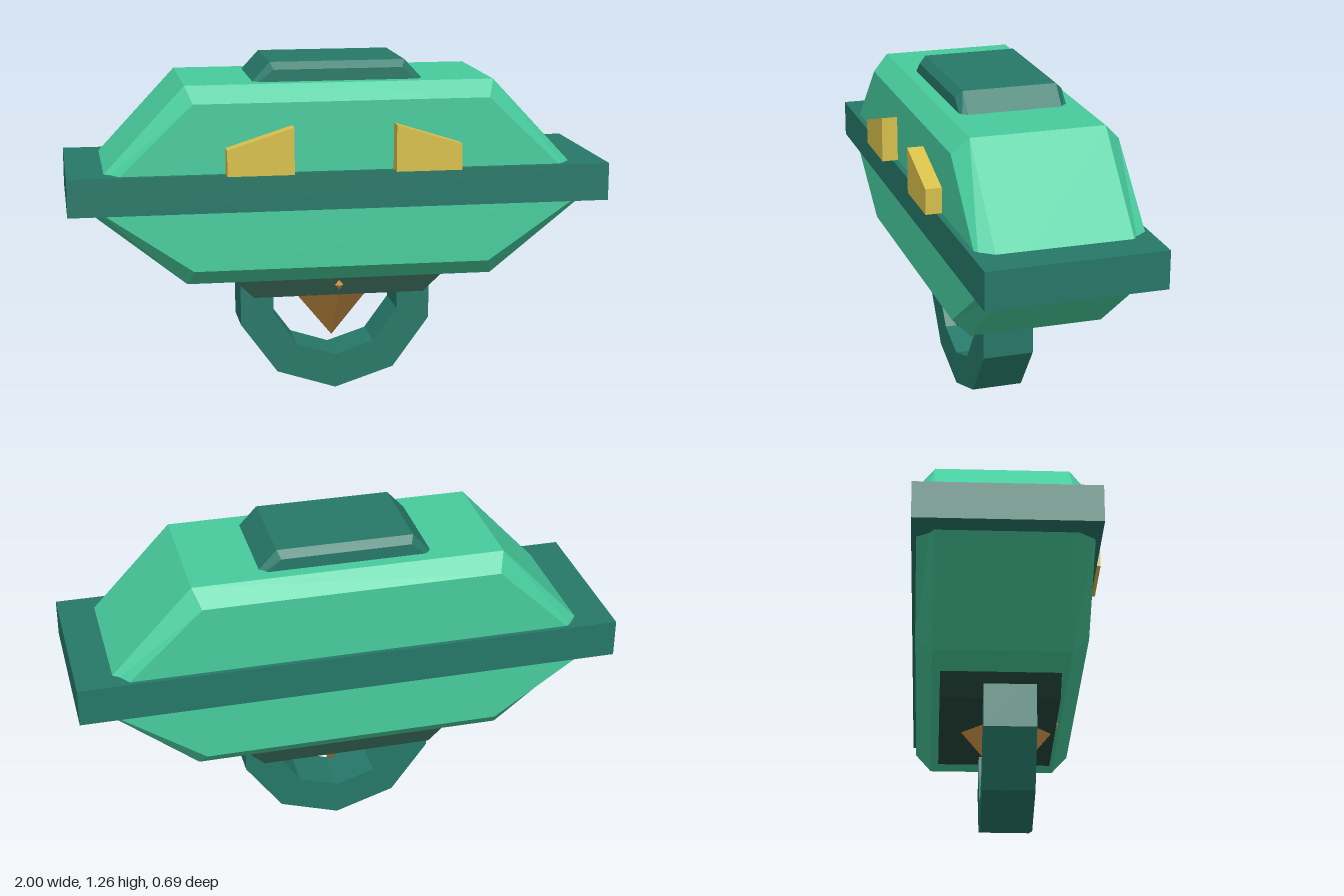
import * as THREE from 'three';

const material = (name, color) => {
  const m = new THREE.MeshStandardMaterial({ color });
  m.name = name;
  return m;
};

export function createModel() {
  const green = material('bright green', 0x48cc9e);
  const teal = material('dark teal', 0x267868);
  const shade = material('deep green', 0x264a3f);
  const gold = material('gold', 0xd9c04c);
  const amber = material('amber', 0xd09448);
  const group = new THREE.Group();

  const add = (name, geometry, mat, x = 0, y = 0, z = 0) => {
    const mesh = new THREE.Mesh(geometry, mat);
    mesh.name = name;
    mesh.position.set(x, y, z);
    group.add(mesh);
    return mesh;
  };

  // Extrudes an outline from z0 to z1, with a chamfer cut inward from it
  const prism = (points, z0, z1, chamfer = 0) => {
    const shape = new THREE.Shape(points.map(([x, y]) => new THREE.Vector2(x, y)));
    return new THREE.ExtrudeGeometry(shape, {
      depth: z1 - z0 - 2 * chamfer,
      bevelEnabled: chamfer > 0,
      bevelSegments: 1,
      bevelSize: chamfer,
      bevelThickness: chamfer,
      bevelOffset: -chamfer,
    }).translate(0, 0, z0 + chamfer);
  };
  // Symmetric trapezoid: half widths at the bottom and top
  const trapezoid = (wBottom, y0, wTop, y1) =>
    [[-wBottom, y0], [wBottom, y0], [wTop, y1], [-wTop, y1]];

  // Hull halves, their wide ends hidden in the rim band
  add('upperHull', prism(trapezoid(0.959, 0.78, 0.57, 1.195), -0.328, 0.285, 0.06), green);
  add('lowerHull', prism(trapezoid(0.57, 0.46, 0.995, 0.8), -0.328, 0.285, 0.06), green);
  add('rimBand', new THREE.BoxGeometry(2, 0.14, 0.65), teal, 0, 0.81, -0.02);

  // Hatch on top and dark plate underneath
  add('topHatch', prism(trapezoid(0.357, 1.15, 0.25, 1.265), -0.222, 0.18, 0.026), teal);
  add('bottomPlate', prism(trapezoid(0.32, 0.39, 0.4, 0.465), -0.238, 0.199), shade);

  // Slanted eyes, mirrored
  for (const [name, s] of [['leftEye', 1], ['rightEye', -1]]) {
    const outline = [[0.187, 0.88], [0.43, 0.88], [0.43, 0.975], [0.187, 1.052]];
    add(name, prism(outline.map(([x, y]) => [s * x, y]), 0.28, 0.345), gold);
  }

  // Lower part of a ten-sided ring, its ends sunk into the plate
  const arc = (r) => Array.from({ length: 7 }, (_, i) => {
    const a = THREE.MathUtils.degToRad(-198 + 36 * i);
    return [r * Math.cos(a), 0.38 + r * Math.sin(a)];
  });
  add('hangingRing', prism([...arc(0.38), ...arc(0.25).reverse()], -0.081, 0.111), teal);

  // Pointed crystal under the plate
  const crystal = add('crystal', new THREE.OctahedronGeometry(1), amber, 0, 0.427, 0.015);
  crystal.scale.set(0.2, 0.244, 0.2);

  return group;
}
